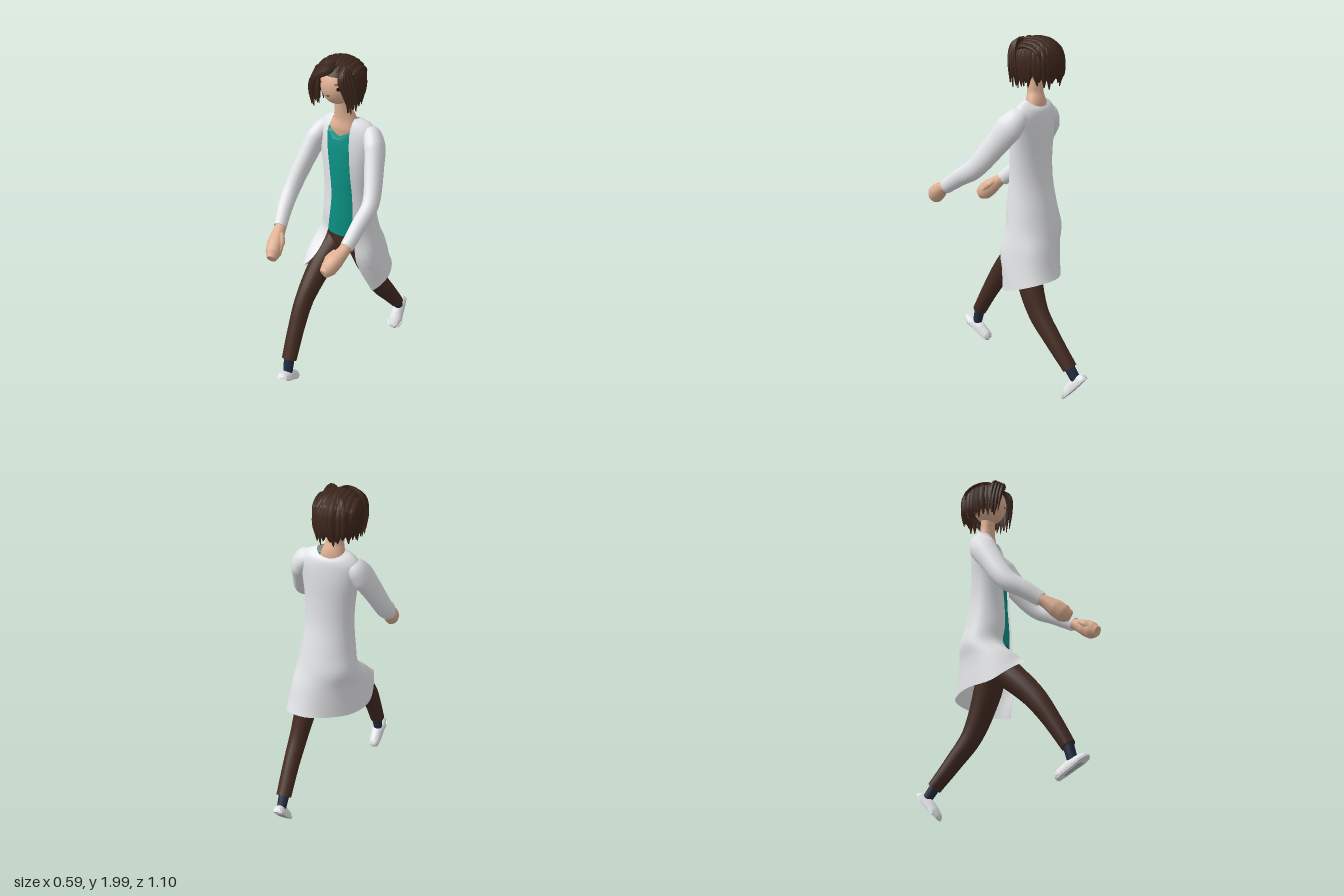
import * as THREE from 'three';
import { toCreasedNormals } from 'three/addons/utils/BufferGeometryUtils.js';

const V = (x, y, z) => new THREE.Vector3(x, y, z);

function material(name, color, side = THREE.FrontSide) {
  const m = new THREE.MeshStandardMaterial({ color, side });
  m.name = name;
  return m;
}

function indexed(pos, idx) {
  const g = new THREE.BufferGeometry();
  g.setAttribute('position', new THREE.Float32BufferAttribute(pos, 3));
  g.setIndex(idx);
  g.computeVertexNormals();
  return g;
}

// Capped limb: pts are [x, y, z, ru, rv]; ru lies along ref, rv across it
function limb(pts, { ref = V(1, 0, 0), sides = 14, steps = 5, rule } = {}) {
  const curve = new THREE.CatmullRomCurve3(pts.map(p => V(p[0], p[1], p[2])));
  const n = (pts.length - 1) * steps, pos = [], idx = [];
  for (let i = 0; i <= n; i++) {
    const c = curve.getPoint(i / n), t = curve.getTangent(i / n);
    const u = ref.clone().addScaledVector(t, -t.dot(ref)).normalize();
    const v = t.clone().cross(u);
    const k = Math.min(Math.floor(i / steps), pts.length - 2), f = i / steps - k;
    const ru = THREE.MathUtils.lerp(pts[k][3], pts[k + 1][3], f);
    const rv = THREE.MathUtils.lerp(pts[k][4], pts[k + 1][4], f);
    for (let j = 0; j < sides; j++) {
      const a = j / sides * Math.PI * 2;
      const p = c.clone().addScaledVector(u, ru * Math.cos(a)).addScaledVector(v, rv * Math.sin(a));
      if (rule) rule(p, i / n);
      pos.push(p.x, p.y, p.z);
      if (i < n) {
        const a0 = i * sides + j, b0 = i * sides + (j + 1) % sides;
        idx.push(a0, b0, b0 + sides, a0, b0 + sides, a0 + sides);
      }
    }
  }
  const first = pts[0], last = pts[pts.length - 1], s = pos.length / 3, top = n * sides;
  pos.push(first[0], first[1], first[2], last[0], last[1], last[2]);
  for (let j = 0; j < sides; j++) {
    const k = (j + 1) % sides;
    idx.push(s, k, j, s + 1, top + j, top + k);
  }
  return toCreasedNormals(indexed(pos, idx), 0.9);
}

export function createModel() {
  const root = new THREE.Group();
  root.name = 'walkingFigure';
  const white = material('coat white', 0xe6e7ea, THREE.DoubleSide);
  const teal = material('shirt teal', 0x0c9083);
  const brown = material('trouser brown', 0x432b21);
  const hairMat = material('hair brown', 0x3c261b, THREE.DoubleSide);
  const skin = material('skin', 0xe0b194);
  const navy = material('sock navy', 0x222c40);
  const grey = material('sole grey', 0xb4b4b7);
  const black = material('eye black', 0x1c1514);
  const add = (name, geo, mat, parent = root) => {
    const m = new THREE.Mesh(geo, mat);
    m.name = name;
    parent.add(m);
    return m;
  };

  // Coat: open-fronted sheet. Rows are y, cx, cz, rx, rz, left edge x, right edge x, drop at the back
  const body = [
    [1.655, -0.008, -0.078, 0.078, 0.052, 0.05, -0.072, 0.035],
    [1.632, 0, -0.078, 0.13, 0.064, 0.047, -0.082, 0.03],
    [1.58, 0, -0.07, 0.17, 0.08, 0.045, -0.09, 0.01],
    [1.48, 0, -0.062, 0.162, 0.096, 0.053, -0.08, 0],
    [1.35, 0.005, -0.056, 0.145, 0.104, 0.065, -0.06, 0],
    [1.2, 0.008, -0.058, 0.14, 0.113, 0.08, -0.045, 0],
    [1.05, 0.012, -0.068, 0.155, 0.136, 0.09, -0.055, 0],
    [0.93, 0.012, -0.08, 0.175, 0.15, 0.1, -0.075, 0],
  ];
  const N = 32;
  const rows = body.map(([y, cx, cz, rx, rz, xl, xr, drop]) => {
    const a0 = Math.asin((xl - cx) / rx), a1 = Math.PI * 2 + Math.asin((xr - cx) / rx);
    return Array.from({ length: N + 1 }, (_, i) => {
      const a = a0 + (a1 - a0) * i / N;
      return V(cx + rx * Math.sin(a), y - drop * Math.max(0, -Math.cos(a)), cz + rz * Math.cos(a));
    });
  });
  // Skirt of the coat, swung by the stride
  const skirt = [
    [[0.12, 0.79, 0.06], [0.18, 0.8, 0.03], [0.21, 0.81, -0.08], [0.18, 0.82, -0.2], [0.06, 0.83, -0.245],
      [-0.07, 0.83, -0.205], [-0.16, 0.83, -0.1], [-0.187, 0.825, 0.02], [-0.165, 0.82, 0.12], [-0.11, 0.815, 0.155]],
    [[0.195, 0.58, 0.005], [0.225, 0.595, -0.05], [0.24, 0.625, -0.14], [0.197, 0.66, -0.245], [0.08, 0.67, -0.283],
      [-0.05, 0.66, -0.225], [-0.16, 0.65, -0.12], [-0.208, 0.655, 0.02], [-0.2, 0.71, 0.12], [-0.172, 0.755, 0.2]],
  ];
  for (const r of skirt) rows.push(new THREE.CatmullRomCurve3(r.map(p => V(...p))).getSpacedPoints(N));
  const coatPos = [], coatIdx = [], fine = 4, rowCount = (rows.length - 1) * fine + 1;
  const columns = rows[0].map((_, i) => new THREE.CatmullRomCurve3(rows.map(r => r[i])));
  for (let k = 0; k < rowCount; k++) {
    columns.forEach((c, i) => {
      coatPos.push(...c.getPoint(k / (rowCount - 1)).toArray());
      if (k && i) {
        const d = k * (N + 1) + i, b = d - N - 1;
        coatIdx.push(b - 1, d - 1, d, b - 1, d, b);
      }
    });
  }
  add('coat', indexed(coatPos, coatIdx), white);

  // Shirt with a V neck and slanting hem, and the chest and neck beneath it
  const shirt = body.slice(2).reverse().map(([y, cx, cz, rx, rz]) => [cx, y, cz, rx * 0.9, rz * 0.88]);
  add('shirt', limb(shirt, { sides: 40, rule: (p, t) => {
    if (t > 0.9) p.y = Math.min(p.y, 1.54 + 0.5 * Math.abs(p.x + 0.028));
    if (t === 0) p.y = p.x < 0 ? 0.96 : 0.96 - 0.38 * p.x;
  } }), teal);
  add('neck', limb([[-0.02, 1.48, -0.06, 0.06, 0.03], [-0.02, 1.535, -0.062, 0.085, 0.05], [-0.02, 1.585, -0.066, 0.086, 0.058],
    [-0.02, 1.635, -0.07, 0.067, 0.052], [-0.025, 1.69, -0.062, 0.049, 0.043], [-0.03, 1.79, -0.058, 0.046, 0.042]], { sides: 24 }), skin);

  // Trousers
  add('hips', limb([[0.01, 0.81, -0.05, 0.06, 0.07], [0.01, 0.87, -0.055, 0.12, 0.105],
    [0.01, 0.97, -0.07, 0.14, 0.117]], { sides: 24 }), brown);
  const legs = {
    rightLeg: [[-0.05, 0.87, -0.045, 0.072, 0.075], [-0.092, 0.745, 0.07, 0.07, 0.082],
      [-0.125, 0.57, 0.235, 0.052, 0.066], [-0.13, 0.42, 0.335, 0.047, 0.052], [-0.13, 0.26, 0.425, 0.044, 0.041]],
    leftLeg: [[0.07, 0.88, -0.055, 0.075, 0.085], [0.11, 0.72, -0.105, 0.068, 0.085],
      [0.145, 0.485, -0.205, 0.052, 0.064], [0.155, 0.345, -0.315, 0.047, 0.052], [0.157, 0.2, -0.435, 0.044, 0.04]],
  };
  for (const [name, pts] of Object.entries(legs)) add(name, limb(pts, { sides: 18 }), brown);
  add('rightSock', limb([[-0.13, 0.28, 0.42, 0.033, 0.032], [-0.13, 0.15, 0.452, 0.026, 0.028]]), navy);
  add('leftSock', limb([[0.157, 0.22, -0.42, 0.033, 0.032], [0.157, 0.12, -0.49, 0.026, 0.028]]), navy);

  // Shoes: rounded upper on a flat sole with a grey tread plate
  const outline = k => new THREE.Shape([[0, -0.106], [0.026, -0.096], [0.034, -0.05], [0.038, 0.02], [0.045, 0.06],
    [0.034, 0.095], [0, 0.11], [-0.034, 0.095], [-0.045, 0.06], [-0.038, 0.02], [-0.034, -0.05], [-0.026, -0.096]]
    .map(([x, z]) => new THREE.Vector2(x * k, -z * k)));
  const plate = (k, depth, y) => new THREE.ExtrudeGeometry(outline(k), { depth, bevelEnabled: false })
    .rotateX(-Math.PI / 2).translate(0, y, 0);
  const upper = limb([[0, 0.01, -0.104, 0.018, 0.02], [0, 0.01, -0.085, 0.032, 0.034], [0, 0.01, -0.01, 0.037, 0.046],
    [0, 0.01, 0.05, 0.043, 0.036], [0, 0.01, 0.093, 0.03, 0.022], [0, 0.01, 0.108, 0.008, 0.006]],
  { sides: 20, rule: p => { p.y = Math.max(p.y, 0.01); } });
  for (const [name, x, y, z, tilt] of [['rightShoe', -0.13, 0.132, 0.447, -0.58], ['leftShoe', 0.157, 0.086, -0.472, 0.83]]) {
    const shoe = new THREE.Group();
    shoe.name = name;
    shoe.position.set(x, y, z);
    shoe.rotation.x = tilt;
    root.add(shoe);
    add('shoeUpper', upper, white, shoe);
    add('shoeSole', plate(1, 0.012, 0), white, shoe);
    add('shoeTread', plate(0.55, 0.003, -0.003), grey, shoe);
  }

  // Sleeves and hands
  add('leftSleeve', limb([[0.08, 1.585, -0.085, 0.03, 0.03], [0.142, 1.568, -0.068, 0.052, 0.064], [0.178, 1.52, -0.035, 0.056, 0.08],
    [0.205, 1.435, 0.025, 0.052, 0.07], [0.247, 1.275, 0.155, 0.045, 0.057], [0.235, 1.205, 0.27, 0.042, 0.05],
    [0.22, 1.13, 0.385, 0.036, 0.042]], { sides: 18 }), white);
  add('rightSleeve', limb([[-0.08, 1.575, -0.085, 0.03, 0.03], [-0.136, 1.555, -0.072, 0.052, 0.064], [-0.172, 1.5, -0.042, 0.056, 0.08],
    [-0.205, 1.405, 0.015, 0.052, 0.07], [-0.25, 1.225, 0.13, 0.045, 0.057], [-0.242, 1.155, 0.23, 0.042, 0.05],
    [-0.225, 1.09, 0.315, 0.036, 0.042]], { sides: 18 }), white);
  add('leftHand', limb([[0.223, 1.145, 0.36, 0.03, 0.03], [0.212, 1.115, 0.415, 0.035, 0.036], [0.19, 1.082, 0.465, 0.046, 0.049],
    [0.173, 1.052, 0.505, 0.043, 0.05], [0.16, 1.035, 0.537, 0.026, 0.032]]), skin);
  add('leftThumb', limb([[0.18, 1.12, 0.43, 0.016, 0.018], [0.152, 1.09, 0.465, 0.018, 0.02], [0.143, 1.06, 0.5, 0.01, 0.011]], { sides: 10 }), skin);
  add('rightHand', limb([[-0.222, 1.105, 0.295, 0.03, 0.03], [-0.218, 1.07, 0.345, 0.035, 0.036], [-0.21, 1.03, 0.395, 0.046, 0.049],
    [-0.203, 0.995, 0.437, 0.043, 0.05], [-0.197, 0.975, 0.47, 0.026, 0.032]]), skin);
  add('rightThumb', limb([[-0.195, 1.075, 0.355, 0.016, 0.018], [-0.175, 1.045, 0.39, 0.018, 0.02], [-0.17, 1.01, 0.425, 0.01, 0.011]], { sides: 10 }), skin);

  // Head, turned slightly to its right
  const head = new THREE.Group();
  head.name = 'head';
  head.position.set(-0.047, 1.85, -0.042);
  head.rotation.set(0, -0.15, 0.09);
  root.add(head);
  const R = V(0.093, 0.114, 0.1);
  add('face', new THREE.SphereGeometry(1, 32, 24).scale(R.x, R.y, R.z), skin, head);
  const onFace = (name, geo, mat, x, y, roll = 0) => {
    const z = R.z * Math.sqrt(1 - (x / R.x) ** 2 - (y / R.y) ** 2);
    const n = V(x / R.x ** 2, y / R.y ** 2, z / R.z ** 2).normalize();
    const m = add(name, geo, mat, head);
    m.position.set(x, y, z).addScaledVector(n, 0.003);
    m.quaternion.setFromUnitVectors(V(0, 0, 1), n);
    m.rotateZ(roll);
  };
  for (const s of [-1, 1]) {
    onFace('eye', new THREE.CircleGeometry(0.011, 16), black, s * 0.058, 0.006);
    onFace('eyebrow', new THREE.BoxGeometry(0.036, 0.006, 0.004), hairMat, s * 0.056, 0.03, -s * 0.1);
    onFace('mouth', new THREE.BoxGeometry(0.011, 0.003, 0.003), black, s * 0.004, -0.034, s * 0.4);
    add('ear', new THREE.SphereGeometry(0.02, 12, 8).scale(0.5, 1.1, 0.8).translate(s * 0.094, -0.01, -0.01), skin, head);
  }

  // Hair: inner cap and back shell covered with tapering strands
  const hair = new THREE.Group();
  hair.name = 'hair';
  hair.position.set(-0.043, 1.86, -0.062);
  root.add(hair);
  add('hairCap', new THREE.SphereGeometry(1, 28, 10, 0, Math.PI * 2, 0, 1.0).scale(0.118, 0.128, 0.138), hairMat, hair);
  add('hairBack', new THREE.SphereGeometry(1, 28, 14, Math.PI * 0.9, Math.PI * 1.2, 0.9, 1.25).scale(0.114, 0.128, 0.136), hairMat, hair);
  let seed = 7;
  const rand = () => (seed = (seed * 16807) % 2147483647) / 2147483647;
  const count = 26;
  for (let i = 0; i < count; i++) {
    const a = THREE.MathUtils.lerp(0.95, Math.PI * 2 - 0.95, i / (count - 1));
    const k = 0.94 + rand() * 0.1, end = -0.095 - rand() * 0.048, sway = (rand() - 0.5) * 0.25;
    const at = (r, y, ru, rv, turn = 0) => [Math.sin(a + turn) * 0.123 * r * k, y, Math.cos(a + turn) * 0.148 * r * k, ru, rv];
    add('strand', limb([at(0.15, 0.116, 0.012, 0.009), at(0.55, 0.107, 0.018, 0.012), at(0.9, 0.055, 0.022, 0.014),
      at(1, -0.02, 0.022, 0.013), at(0.98, -0.07, 0.017, 0.01, sway * 0.5), at(0.93, end, 0.003, 0.002, sway)],
    { ref: V(Math.cos(a), 0, -Math.sin(a)), sides: 6, steps: 3 }), hairMat, hair);
  }
  // Locks combed from the forehead over the crown to the back
  for (let i = -4; i <= 4; i++) {
    const x = i * 0.023, h = Math.sqrt(1 - (x / 0.128) ** 2);
    const arc = (deg, r, ru, rv) => {
      const t = THREE.MathUtils.degToRad(deg);
      return [x + i * 0.002, 0.127 * h * Math.sin(t) * r, 0.142 * h * Math.cos(t) * r, ru, rv];
    };
    add('crownLock', limb([arc(48, 1, 0.006, 0.005), arc(75, 1, 0.016, 0.011), arc(110, 1, 0.018, 0.012),
      arc(145, 1.02, 0.018, 0.012), arc(175 + rand() * 8, 1.04, 0.004, 0.003)], { sides: 6 }), hairMat, hair);
  }
  // Parted fringe, fuller on the left side of the face
  for (const s of [-1, 1]) for (let i = 0; i < 4; i++) {
    const d = i * 0.012, inset = s > 0 ? 0.026 - d * 0.6 : 0;
    add('fringe', limb([[0.02 + s * 0.005, 0.114, 0.03 - d, 0.01, 0.014], [0.02 + s * 0.04, 0.095 + d * 0.5, 0.11 - d, 0.011, 0.02],
      [s * (0.094 - inset), 0.05 + d, 0.13 - d * 1.5, 0.011, 0.019], [s * (0.117 - inset), -0.03, 0.12 - d * 1.7, 0.01, 0.015],
      [s * (0.117 - inset * 0.5), -0.12 - 0.02 * (i % 2), 0.107 - d * 1.7, 0.002, 0.003]],
    { ref: V(0, 0, 1), sides: 6, steps: 4 }), hairMat, hair);
  }
  return root;
}
